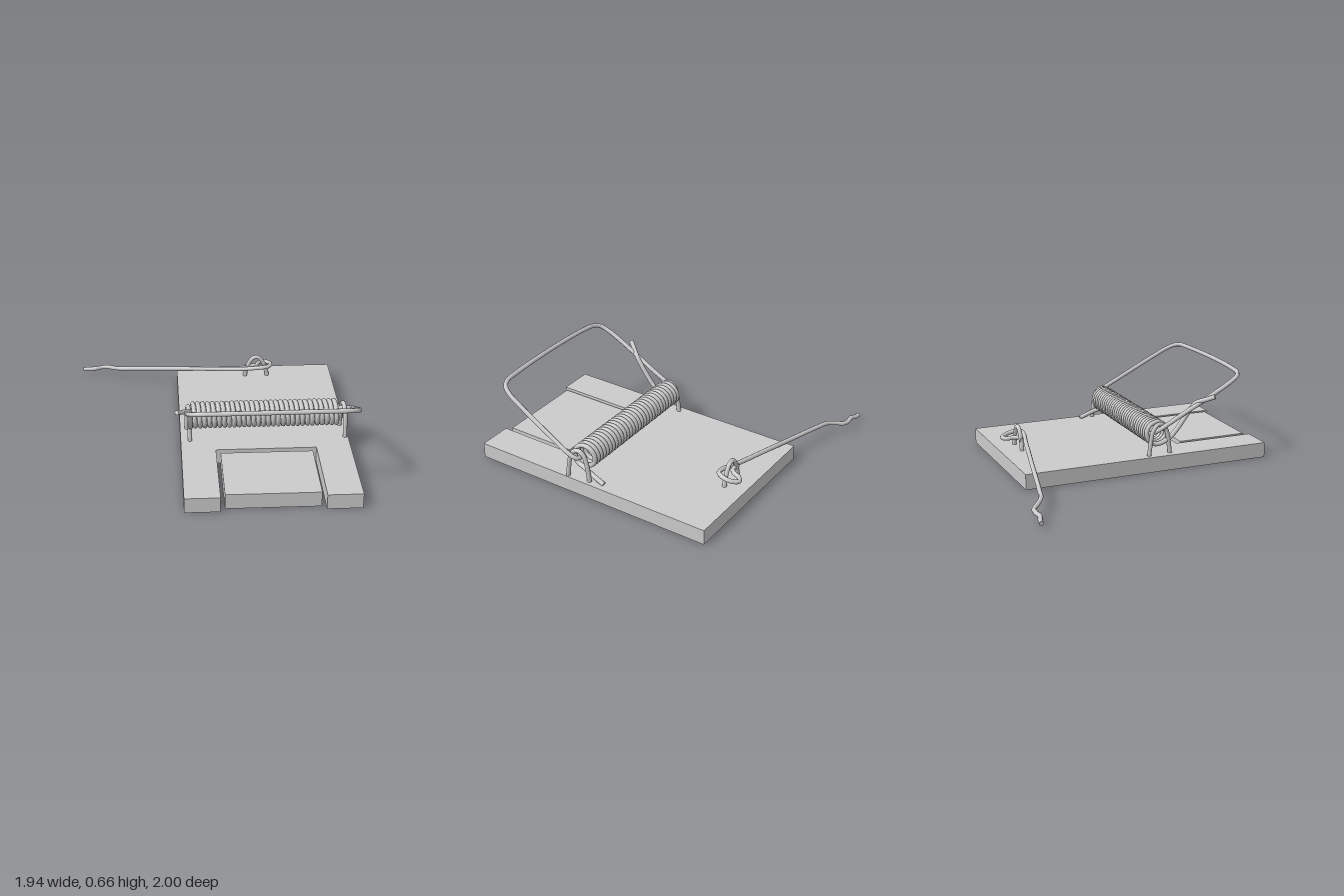
import * as THREE from 'three';

const grey = new THREE.MeshStandardMaterial({ color: 0xcccccc });
const greyThin = new THREE.MeshStandardMaterial({ color: 0xcccccc, side: THREE.DoubleSide });

export function createModel() {
  const model = new THREE.Group();

  const add = (name, geometry, material = grey) => {
    const mesh = new THREE.Mesh(geometry, material);
    mesh.name = name;
    model.add(mesh);
    return mesh;
  };

  // Round wire with flat end caps along a list of points
  const wire = (name, points, segments = 60, radius = 0.016) => {
    const pts = points.map((p) => new THREE.Vector3(...p));
    const curve = new THREE.CatmullRomCurve3(pts, false, 'centripetal');
    const mesh = add(name, new THREE.TubeGeometry(curve, segments, radius, 8));
    for (const t of [0, 1]) {
      const cap = new THREE.Mesh(new THREE.CircleGeometry(radius, 8), grey);
      cap.name = name + 'End';
      cap.position.copy(curve.getPointAt(t));
      const out = curve.getTangentAt(t).multiplyScalar(t ? 1 : -1);
      cap.quaternion.setFromUnitVectors(new THREE.Vector3(0, 0, 1), out);
      mesh.add(cap);
    }
  };

  // Board with a notch open to the front (shape y becomes -z)
  const outline = [[-0.24, -1], [0, -1], [0, -0.4], [0.7, -0.4], [0.7, -1], [0.94, -1], [0.94, 0.84], [-0.24, 0.84]];
  const shape = new THREE.Shape(outline.map(([x, y]) => new THREE.Vector2(x, y)));
  const board = new THREE.ExtrudeGeometry(shape, { depth: 0.11, bevelEnabled: false });
  board.rotateX(-Math.PI / 2);
  add('board', board);

  // Bait pedal: a thin shell, open underneath
  const pedal = new THREE.BoxGeometry(0.64, 0.11, 0.52);
  const index = Array.from(pedal.index.array);
  index.splice(18, 6);
  pedal.setIndex(index);
  pedal.translate(0.35, 0.055, 0.705);
  add('pedal', pedal, greyThin);

  // Coil spring with a free tail at each end
  const turns = 30, perTurn = 12, coil = [];
  const cy = 0.26, cz = 0.17, r = 0.079;
  coil.push([-0.27, 0.51, 0.57], [-0.23, 0.485, 0.52], [-0.185, 0.455, 0.46], [-0.175, 0.42, 0.43], [-0.172, 0.22, 0.265]);
  for (let i = 0; i <= turns * perTurn; i++) {
    const a = (i / perTurn) * Math.PI * 2;
    coil.push([-0.165 + (1.03 * i) / (turns * perTurn), cy - r * Math.cos(a), cz - r * Math.sin(a)]);
  }
  coil.push([0.88, 0.155, 0.09], [0.885, 0.115, -0.01]);
  wire('spring', coil, 1000, 0.017);

  // Snapping bail, lying in a sloped plane
  const bail = [
    [-0.16, 0.11], [-0.19, 0.15], [-0.198, 0.35], [-0.206, 0.6], [-0.2, 0.72], [-0.18, 0.785], [-0.13, 0.815], [0, 0.83],
    [0.35, 0.838], [0.72, 0.83], [0.84, 0.82], [0.89, 0.795], [0.92, 0.74], [0.935, 0.62], [0.95, 0.38], [0.955, 0.22],
    [0.94, 0.17], [0.88, 0.155],
  ];
  wire('bail', bail.map(([x, z]) => [x, 0.28 + (z - 0.15) * 0.53, z]), 120);

  // Staples: an arch given as [offset along the arch, height]
  const arch = (apex) => [[-0.085, 0.08], [-0.08, 0.14], [-0.055, apex - 0.05], [-0.025, apex - 0.008],
    [0, apex], [0.025, apex - 0.008], [0.055, apex - 0.05], [0.08, 0.14], [0.085, 0.08]];
  for (const [side, x] of [['right', -0.183], ['left', 0.91]]) {
    wire(side + 'Staple', arch(0.33).map(([d, y]) => [x + d * 0.1, y, cz + 0.01 + d]), 40);
  }
  wire('backStaple', arch(0.265).map(([d, y]) => [0.365 + d, y, -0.69]), 40);

  // Holding arm, bent at the tip and looped through the back staple
  wire('holdingArm', [
    [-0.97, 0.04, -0.985], [-0.93, 0.045, -0.98], [-0.88, 0.055, -0.965], [-0.82, 0.06, -0.975], [-0.77, 0.065, -0.965],
    [-0.72, 0.078, -0.92], [-0.66, 0.093, -0.88], [-0.55, 0.105, -0.852], [-0.1, 0.145, -0.75], [0.25, 0.175, -0.67],
    [0.4, 0.2, -0.638], [0.45, 0.203, -0.645], [0.475, 0.198, -0.69], [0.468, 0.185, -0.75], [0.43, 0.176, -0.79],
    [0.39, 0.178, -0.765], [0.37, 0.185, -0.71], [0.34, 0.19, -0.69], [0.28, 0.185, -0.69],
  ], 120);

  return model;
}
